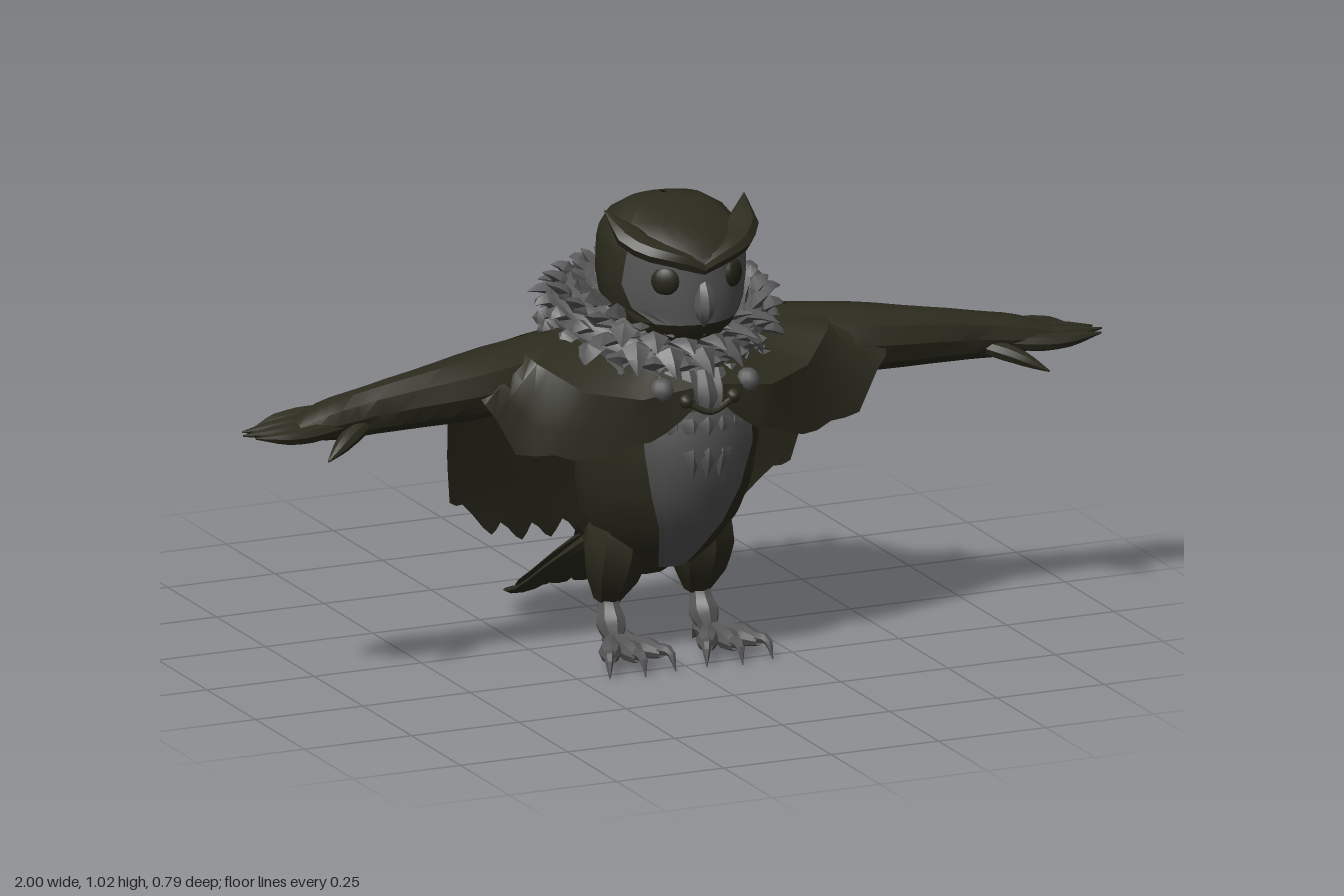
import * as THREE from 'three';
import { toCreasedNormals } from 'three/addons/utils/BufferGeometryUtils.js';

const olive = new THREE.MeshStandardMaterial({ color: 0x2c2b1e, side: THREE.DoubleSide });
olive.name = 'olive plumage';
const gray = new THREE.MeshStandardMaterial({ color: 0x575757, side: THREE.DoubleSide });
gray.name = 'gray down';
const dark = new THREE.MeshStandardMaterial({ color: 0x25251b });
dark.name = 'dark eye';

const V = (p) => new THREE.Vector3(...p);

// Linear interpolation through a list of equal-length rows
function sample(list, t) {
  const f = t * (list.length - 1);
  const i = Math.min(Math.floor(f + 1e-6), list.length - 2);
  return list[i].map((a, k) => a + (list[i + 1][k] - a) * (f - i));
}

// Grid surface from f(u, v), facing du x dv
function surf(nu, nv, f, crease = 0.6) {
  const pos = [], idx = [];
  for (let j = 0; j <= nv; j++) for (let i = 0; i <= nu; i++) pos.push(...f(i / nu, j / nv));
  for (let j = 0; j < nv; j++) for (let i = 0; i < nu; i++) {
    const a = j * (nu + 1) + i, d = a + nu + 1;
    idx.push(a, a + 1, d, a + 1, d + 1, d);
  }
  const g = new THREE.BufferGeometry();
  g.setAttribute('position', new THREE.Float32BufferAttribute(pos, 3));
  g.setIndex(idx);
  return toCreasedNormals(g, crease);
}

// Tapered tube along a curve; radii rows are [sideways, upward]
function limb(points, radii, { up = [0, 1, 0], sides = 8, steps = 8 } = {}) {
  const curve = new THREE.CatmullRomCurve3(points.map(V));
  return surf(sides, steps, (u, v) => {
    const p = curve.getPoint(v), t = curve.getTangent(v);
    const s = t.clone().cross(V(up)).normalize(), n = s.clone().cross(t);
    const [w, h] = sample(radii, v), a = u * Math.PI * 2;
    return p.addScaledVector(s, w * Math.cos(a)).addScaledVector(n, -h * Math.sin(a)).toArray();
  });
}

// Stacked oval sections [y, front z, back z, half width, front patch angle], split in front and back
function stack(rows, front) {
  return surf(front ? 8 : 16, rows.length - 1, (u, v) => {
    const [y, zf, zb, w, b] = sample(rows, v);
    const a = front ? -b + 2 * b * u : b + (Math.PI * 2 - 2 * b) * u;
    return [w * Math.sin(a), y, (zf + zb) / 2 + ((zf - zb) / 2) * Math.cos(a)];
  });
}

export function createModel() {
  const root = new THREE.Group();
  const add = (name, geo, mat, parent = root) => {
    const m = new THREE.Mesh(geo, mat);
    m.name = name;
    parent.add(m);
    return m;
  };
  const group = (name) => {
    const g = new THREE.Group();
    g.name = name;
    root.add(g);
    return g;
  };

  // Body with gray belly
  const body = [
    [0.195, 0.06, 0.05, 0.002, 0.3], [0.205, 0.19, -0.07, 0.1, 0.32], [0.25, 0.235, -0.075, 0.14, 0.36],
    [0.32, 0.3, -0.07, 0.17, 0.45], [0.4, 0.34, -0.06, 0.188, 0.58], [0.5, 0.375, -0.055, 0.19, 0.72],
    [0.6, 0.37, -0.05, 0.18, 0.8], [0.7, 0.33, -0.02, 0.16, 0.8], [0.78, 0.27, 0.03, 0.11, 0.8]];
  add('body', stack(body, false), olive);
  add('belly', stack(body, true), gray);

  // Head with olive chin and forehead around the gray face
  const head = [
    [0.72, 0.3, 0.04, 0.09, 0.5], [0.755, 0.335, 0.02, 0.122, 0.6], [0.78, 0.348, 0.008, 0.138, 0.75],
    [0.81, 0.352, 0, 0.15, 1.05], [0.86, 0.355, -0.002, 0.157, 1.18], [0.925, 0.35, 0.005, 0.156, 1.1],
    [0.955, 0.325, 0.02, 0.15, 1], [0.985, 0.265, 0.045, 0.128, 1], [1.01, 0.2, 0.09, 0.085, 1], [1.02, 0.15, 0.13, 0.005, 1]];
  add('head', stack(head, false), olive);
  add('chin', stack(head.slice(0, 3), true), olive);
  add('face', stack(head.slice(2, 6), true), gray);
  add('forehead', stack(head.slice(5), true), olive);
  add('beak', limb([[0, 0.885, 0.335], [0, 0.85, 0.344], [0, 0.81, 0.348], [0, 0.775, 0.345]],
    [[0.008, 0.01], [0.022, 0.026], [0.024, 0.03], [0.002, 0.004]], { up: [0, 0, 1] }), gray);

  for (const s of [1, -1]) {
    const eye = add('eye', new THREE.SphereGeometry(0.032, 14, 10), dark);
    eye.scale.z = 0.5;
    eye.position.set(s * 0.077, 0.878, 0.322);
    eye.rotation.y = s * 0.55;
    // Brow sweeping up and back into the ear tuft
    add('brow', limb([[-s * 0.005, 0.9, 0.345], [s * 0.06, 0.928, 0.33], [s * 0.12, 0.953, 0.27], [s * 0.163, 1.012, 0.195]],
      [[0.012, 0.014], [0.02, 0.02], [0.036, 0.024], [0.036, 0.024], [0.001, 0.001]]), olive);

    // Thigh, shank and clawed toes
    add('thigh', limb([[s * 0.085, 0.35, 0.115], [s * 0.098, 0.24, 0.115], [s * 0.105, 0.12, 0.08]],
      [[0.05, 0.06], [0.07, 0.08], [0.075, 0.08], [0.06, 0.062], [0.03, 0.03]], { up: [0, 0, 1] }), olive);
    const foot = group('foot');
    add('shank', limb([[s * 0.105, 0.16, 0.08], [s * 0.107, 0.09, 0.1], [s * 0.11, 0.03, 0.14]],
      [[0.026, 0.026], [0.023, 0.024], [0.036, 0.034], [0.012, 0.012]], { up: [0, 0, 1] }), gray, foot);
    for (const k of [-1, 0, 1]) {
      const x = s * 0.113, d = k * 0.064, z = k ? 0 : 0.015;
      add('toe', limb([[x, 0.035, 0.13], [x + d * 0.55, 0.04, 0.195 + z], [x + d * 0.95, 0.036, 0.25 + z]],
        [[0.022, 0.02], [0.02, 0.021], [0.026, 0.024], [0.012, 0.012]]), gray, foot);
      add('claw', limb([[x + d * 0.9, 0.042, 0.24 + z], [x + d * 1.1, 0.042, 0.268 + z], [x + d * 1.2, 0.002, 0.284 + z]],
        [[0.014, 0.014], [0.011, 0.011], [0.001, 0.001]], { sides: 6, steps: 5 }), gray, foot);
    }
    add('rearToe', limb([[s * 0.11, 0.03, 0.15], [s * 0.105, 0.034, 0.1], [s * 0.1, 0.003, 0.068]],
      [[0.022, 0.022], [0.02, 0.02], [0.001, 0.001]]), gray, foot);

    // Arm with feather fingers
    const arm = group('arm');
    add('forearm', limb([[s * 0.28, 0.67, 0.14], [s * 0.48, 0.65, 0.168], [s * 0.65, 0.635, 0.175], [s * 0.78, 0.62, 0.173], [s * 0.88, 0.613, 0.18]],
      [[0.08, 0.07], [0.085, 0.074], [0.062, 0.062], [0.048, 0.052], [0.052, 0.044], [0.035, 0.02]], { sides: 10, steps: 12 }), olive, arm);
    [[0.95, 0.137], [0.99, 0.16], [1, 0.187], [0.985, 0.218]].forEach(([x, z], i) =>
      add('finger', limb([[s * 0.77, 0.63 - i * 0.006, 0.145 + i * 0.02], [s * 0.88, 0.622 - i * 0.006, z], [s * x, 0.611, z]],
        [[0.014, 0.016], [0.02, 0.02], [0.019, 0.016], [0.002, 0.002]]), olive, arm));
    add('thumb', limb([[s * 0.7, 0.615, 0.185], [s * 0.78, 0.588, 0.235], [s * 0.84, 0.557, 0.272]],
      [[0.015, 0.015], [0.022, 0.02], [0.018, 0.015], [0.002, 0.002]]), olive, arm);

    // Shoulder mantle: columns of neck, middle and hem from clasp to arm
    const neck = [[0.03, 0.68, 0.335], [0.1, 0.69, 0.31], [0.14, 0.7, 0.25], [0.16, 0.73, 0.19], [0.16, 0.75, 0.13], [0.14, 0.74, 0.05]];
    const mid = [[0.035, 0.65, 0.37], [0.15, 0.635, 0.365], [0.26, 0.65, 0.31], [0.34, 0.705, 0.24], [0.36, 0.732, 0.15], [0.36, 0.7, 0.05]];
    const hem = [[0.03, 0.61, 0.375], [0.14, 0.54, 0.36], [0.27, 0.507, 0.31], [0.4, 0.53, 0.265], [0.475, 0.655, 0.252], [0.485, 0.722, 0.16], [0.455, 0.655, 0.03]];
    add('mantle', surf(20, 6, (u, v) => {
      const p = sample([sample(neck, u), sample(mid, u), sample(hem, u)], v);
      const scallop = v > 0.9 ? 0.012 * Math.abs(Math.sin(u * 16)) : 0;
      return [s * p[0], p[1] - scallop, p[2]];
    }), olive);
    const bead = add('claspBead', new THREE.SphereGeometry(0.026, 10, 8), gray);
    bead.position.set(s * 0.1, 0.648, 0.352);
    add('clasp', new THREE.SphereGeometry(0.016, 8, 6), olive).position.set(s * 0.055, 0.625, 0.378);
  }
  add('claspCord', limb([[-0.055, 0.622, 0.38], [0, 0.597, 0.386], [0.055, 0.622, 0.38]],
    [[0.007, 0.007], [0.007, 0.007]]), olive);

  // Back cape: rows of half width, y, edge z, centre z, with a ragged hem
  const cape = [[0.41, 0.72, 0.13, 0.01], [0.455, 0.66, 0.02, -0.045], [0.43, 0.54, -0.02, -0.072],
    [0.415, 0.42, -0.055, -0.1], [0.395, 0.31, -0.085, -0.13], [0.34, 0.195, -0.11, -0.16]];
  add('backCape', surf(48, 20, (u, v) => {
    const k = u * 2 - 1, q = Math.abs(k), i = Math.round(u * 48);
    const tooth = [0, 0.03, 0.07, 0.05, 0.015][Math.min(i, 48 - i) % 5] + 0.22 * q ** 6;
    const [w, y, ze, zc] = sample(cape, v * (1 - tooth * v ** 3));
    return [-k * w, y, zc + (ze - zc) * q ** 2.2];
  }), olive);

  // Feather collar: padded ring, low in front and thick behind, covered in rows of pointed tufts
  const collar = group('collar');
  const ring = (a, b, lift = 0) => {
    const c = Math.cos(a), r = 0.06 - 0.018 * c + lift, out = Math.cos(b) * r;
    return [(0.178 + out) * Math.sin(a), 0.727 - 0.032 * c + 0.024 * Math.sin(a) ** 2 + Math.sin(b) * r, 0.127 + (0.162 + out) * c];
  };
  add('collarRing', surf(32, 10, (u, v) => ring(u * Math.PI * 2, v * Math.PI * 2)), gray, collar);
  [-0.9, -0.3, 0.3, 0.9, 1.5, 2.1].forEach((b, row) => {
    for (let i = 0; i < 20; i++) {
      const a = ((i + (row % 2) / 2) / 20) * Math.PI * 2, vary = 0.012 * Math.sin(i * 7.3 + row * 4.1);
      const tip = b + (Math.cos(a) > 0.6 ? -0.6 : -0.1);
      add('tuft', limb([ring(a, b, -0.025), ring(a, b + 0.1, 0.01), ring(a + 0.04, tip, 0.038 + vary)],
        [[0.03, 0.014], [0.037, 0.017], [0.026, 0.012], [0.001, 0.001]], { sides: 4, steps: 4 }), gray, collar);
    }
  });

  // Chest feathers hanging below the collar
  [[0.68, 7, 0.11], [0.62, 5, 0.11], [0.565, 3, 0.12]].forEach(([y, n, len]) => {
    for (let i = 0; i < n; i++) {
      const x = (i - (n - 1) / 2) * 0.034, z = 0.366 - x * x * 4;
      add('chestFeather', limb([[x, y, z - 0.02], [x, y - len * 0.5, z + 0.003], [x * 0.9, y - len, z - 0.003]],
        [[0.015, 0.006], [0.024, 0.009], [0.001, 0.001]], { up: [0, 0, 1], sides: 4, steps: 4 }), gray);
    }
  });

  // Fanned tail of broad overlapping feathers
  const tail = group('tail');
  for (let i = -3; i <= 3; i++) {
    const k = i / 3, q = k * k, lay = (i % 2) * 0.004;
    add('tailFeather', limb([[k * 0.05, 0.27 - q * 0.04, -0.05], [k * 0.105, 0.18 - q * 0.04 + lay, -0.18 + q * 0.02],
      [k * 0.142, 0.085 - q * 0.02 + lay, -0.31 + q * 0.06], [k * 0.15, 0.02 + q * 0.025, -0.395 + q * 0.09]],
    [[0.03, 0.02], [0.042, 0.012], [0.044, 0.01], [0.042, 0.009], [0.024, 0.005]]), olive, tail);
  }
  add('tailBase', limb([[0, 0.3, -0.02], [0, 0.23, -0.09], [0, 0.16, -0.18]],
    [[0.1, 0.05], [0.1, 0.045], [0.07, 0.01]]), olive, tail);
  for (const x of [-0.035, 0, 0.035]) {
    add('underFeather', limb([[x, 0.24, -0.05], [x, 0.16, -0.095], [x, 0.08 + Math.abs(x), -0.138]],
      [[0.025, 0.008], [0.028, 0.007], [0.006, 0.004]]), olive, tail);
  }
  return root;
}
